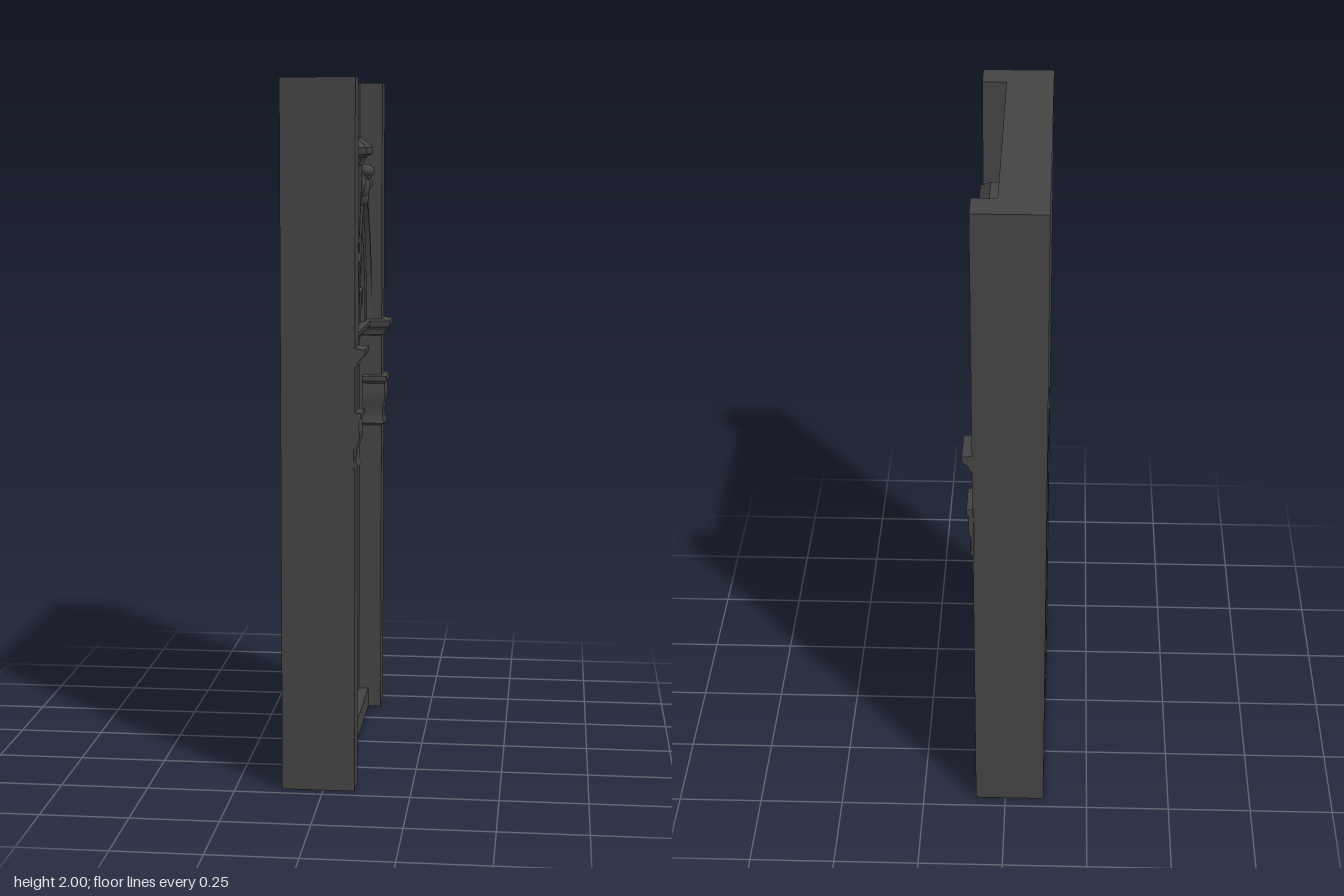
import * as THREE from 'three';
import { toCreasedNormals } from 'three/addons/utils/BufferGeometryUtils.js';

const mat = new THREE.MeshStandardMaterial({ color: 0x444444, side: THREE.DoubleSide });
const SPRING = 1.26; // height where the arch starts

// Everything is built facing +z and turned to face +x at the end.
export function createModel() {
  const facade = new THREE.Group();
  facade.name = 'facade';
  const add = (name, geo) => {
    const m = new THREE.Mesh(geo, mat);
    m.name = name;
    facade.add(m);
    return m;
  };
  const box = (name, x0, x1, y0, y1, z0, z1) => {
    const m = add(name, new THREE.BoxGeometry(x1 - x0, y1 - y0, z1 - z0));
    m.position.set((x0 + x1) / 2, (y0 + y1) / 2, (z0 + z1) / 2);
  };
  const rect = (hw, y0, y1) => [[-hw, y0], [hw, y0], [hw, y1], [-hw, y1]].map(p => new THREE.Vector2(...p));
  const plate = (name, outer, holes, z0, z1) => {
    const shape = new THREE.Shape(outer);
    shape.holes = holes.map(h => new THREE.Path(h));
    const geo = new THREE.ExtrudeGeometry(shape, { depth: z1 - z0, bevelEnabled: false });
    add(name, geo.translate(0, 0, z0));
  };
  // Surface from a grid of points
  const grid = (ni, nj, fn) => {
    const pos = [], idx = [];
    for (let j = 0; j <= nj; j++) for (let i = 0; i <= ni; i++) pos.push(...fn(i, j));
    for (let j = 0; j < nj; j++) for (let i = 0; i < ni; i++) {
      const a = j * (ni + 1) + i, c = a + ni + 1;
      idx.push(a, c, a + 1, a + 1, c, c + 1);
    }
    const geo = new THREE.BufferGeometry();
    geo.setAttribute('position', new THREE.Float32BufferAttribute(pos, 3));
    geo.setIndex(idx);
    return toCreasedNormals(geo, 0.45);
  };
  // Stacked plan outlines: ring(row) gives [x, z] corners, row[0] is the height
  const stack = (name, rows, ring) => {
    const rings = rows.map(ring);
    const n = rings[0].length;
    add(name, grid(n, rows.length - 1, (i, j) => {
      const [x, z] = rings[j][i % n];
      return [x, rows[j][0], z];
    }));
  };

  // Wall: back layer with window opening, front layer also with the niche
  const opening = rect(0.228, 0.09, 1.095);
  const niche = [];
  for (let i = 0; i <= 40; i++) {
    const t = Math.PI * i / 40;
    niche.push(new THREE.Vector2(0.215 * Math.cos(t), SPRING + 0.256 * Math.sin(t)));
  }
  plate('backWall', rect(0.465, 0, 2), [opening], -0.117, -0.055);
  plate('frontWall', rect(0.465, 0, 2), [opening, niche], -0.055, 0.02);

  // Pilasters with corbels, and the sill between them
  const corbel = [[0.925, 0], [0.932, 0.009], [0.95, 0.003], [0.985, 0.005], [1.015, 0.013], [1.035, 0.012],
    [1.06, 0.01], [1.068, 0.017], [1.083, 0.017], [1.086, 0]];
  for (const s of [-1, 1]) {
    const name = s > 0 ? 'right' : 'left';
    box(name + 'Pilaster', Math.min(s * 0.375, s * 0.465), Math.max(s * 0.375, s * 0.465), 0, 2, -0.117, 0.09);
    stack(name + 'Corbel', corbel, ([, o]) => {
      const r = [[0.375 - o, 0.03], [0.467, 0.088], [0.467, 0.09 + o], [0.375 - o, 0.09 + o]];
      return s > 0 ? r : r.map(([x, z]) => [-x, z]).reverse();
    });
  }
  box('sill', -0.376, 0.376, 0, 0.06, 0, 0.05);

  // Cornice wrapping the wall and both pilasters
  const cornice = [[1.212, 0], [1.215, 0.008], [1.226, 0.009], [1.232, 0.013], [1.24, 0.025],
    [1.248, 0.028], [1.26, 0.028], [1.264, 0]];
  stack('cornice', cornice, ([, o]) => {
    const inner = 0.375 - 0.75 * o;
    const half = [[0.455, -0.05], [0.467, 0.088], [0.467, 0.09 + o], [inner, 0.09 + o], [inner, 0.02 + 1.25 * o]];
    return [...half, ...half.map(([x, z]) => [-x, z]).reverse()];
  });

  // Window: stepped casing, sashes and panes
  plate('outerCasing', opening, [rect(0.19, 0.115, 1.05)], -0.108, -0.005);
  plate('innerCasing', rect(0.19, 0.115, 1.05), [rect(0.178, 0.13, 1.035)], -0.1, -0.03);
  plate('upperSash', rect(0.178, 0.545, 1.035), [rect(0.163, 0.565, 1.012)], -0.085, -0.045);
  plate('lowerSash', rect(0.178, 0.13, 0.55), [rect(0.16, 0.155, 0.542)], -0.095, -0.055);
  box('panes', -0.178, 0.178, 0.13, 1.035, -0.077, -0.068);
  box('windowHeader', -0.235, 0.235, 1.095, 1.108, 0.01, 0.027);

  // Arch mouldings: half-ellipse rings as [x radius, y radius, depth]
  const arch = [[0.402, 0.512, 0.015], [0.4, 0.51, 0.042], [0.39, 0.498, 0.058], [0.375, 0.48, 0.058],
    [0.37, 0.472, 0.043], [0.312, 0.418, 0.043], [0.308, 0.41, 0.03],
    [0.235, 0.28, 0.026], [0.232, 0.276, 0.036], [0.222, 0.264, 0.036], [0.215, 0.256, 0.018]];
  add('archMoulding', grid(56, arch.length - 1, (i, j) => {
    const t = Math.PI * (1 - i / 56), [a, b, d] = arch[j];
    return [a * Math.cos(t), SPRING + b * Math.sin(t), d];
  }));

  // Square blocks around the arch band
  for (const s of [-1, 1]) for (const deg of [14, 34, 54, 75]) {
    const t = THREE.MathUtils.degToRad(deg);
    const block = add('archBlock', new THREE.BoxGeometry(0.046, 0.05, 0.022));
    block.position.set(s * 0.272 * Math.cos(t), SPRING + 0.335 * Math.sin(t), 0.028);
    block.rotation.z = s * t;
  }

  // Fluted shell in the niche: outer ring of flutes and an inner fan
  const flutes = 22, nt = flutes * 6;
  const radii = [1, 0.95, 0.88, 0.8, 0.74, 0.72, 0.66, 0.56, 0.42, 0.28, 0.16, 0.14, 0.07, 0];
  add('shell', grid(nt, radii.length - 1, (i, j) => {
    const u = i / nt, t = Math.PI * (1 - u), r = radii[j];
    const wave = Math.abs(Math.sin(flutes * Math.PI * u));
    let d = 0.02 - 0.06 * Math.sqrt(1 - r * r);
    if (r < 0.99 && r > 0.15) d -= 0.014 * wave * r;
    if (r <= 0.72) d += 0.015;
    if (r < 0.15) d += 0.006;
    return [0.215 * r * Math.cos(t), SPRING + 0.256 * r * Math.sin(t), d];
  }));

  // Tapered keystone with moulded foot and cap: [height, half width, front]
  const keystone = [[1.505, 0, 0.03], [1.512, 0.035, 0.045], [1.525, 0.055, 0.056], [1.538, 0.055, 0.056],
    [1.545, 0.04, 0.05], [1.755, 0.062, 0.062], [1.775, 0.07, 0.068], [1.787, 0.095, 0.086],
    [1.806, 0.097, 0.086], [1.835, 0.06, 0.055], [1.838, 0, 0.02]];
  stack('keystone', keystone, ([, w, f]) => [[w, 0], [w, f], [-w, f], [-w, 0]].reverse());
  for (const s of [-1, 1]) {
    const rib = add('keystoneRib', new THREE.BoxGeometry(0.012, 0.21, 0.014));
    rib.position.set(s * 0.045, 1.65, 0.058);
    rib.rotation.set(0.05, 0, -s * 0.105);
  }

  // Carved head on the keystone
  const ball = (name, x, y, z, rx, ry, rz) => {
    const m = add(name, new THREE.SphereGeometry(1, 14, 10));
    m.position.set(x, y, z);
    m.scale.set(rx, ry, rz);
  };
  ball('face', 0, 1.7, 0.065, 0.03, 0.048, 0.024);
  ball('hair', 0, 1.738, 0.075, 0.035, 0.02, 0.026);
  ball('chin', 0, 1.66, 0.066, 0.018, 0.024, 0.018);
  ball('nose', 0, 1.702, 0.086, 0.006, 0.014, 0.01);
  for (const s of [-1, 1]) {
    ball('brow', s * 0.013, 1.718, 0.084, 0.012, 0.005, 0.007);
    ball('sideLock', s * 0.032, 1.705, 0.063, 0.009, 0.034, 0.014);
  }

  facade.rotation.y = Math.PI / 2;
  const model = new THREE.Group();
  model.name = 'archedWindowWall';
  model.add(facade);
  return model;
}
